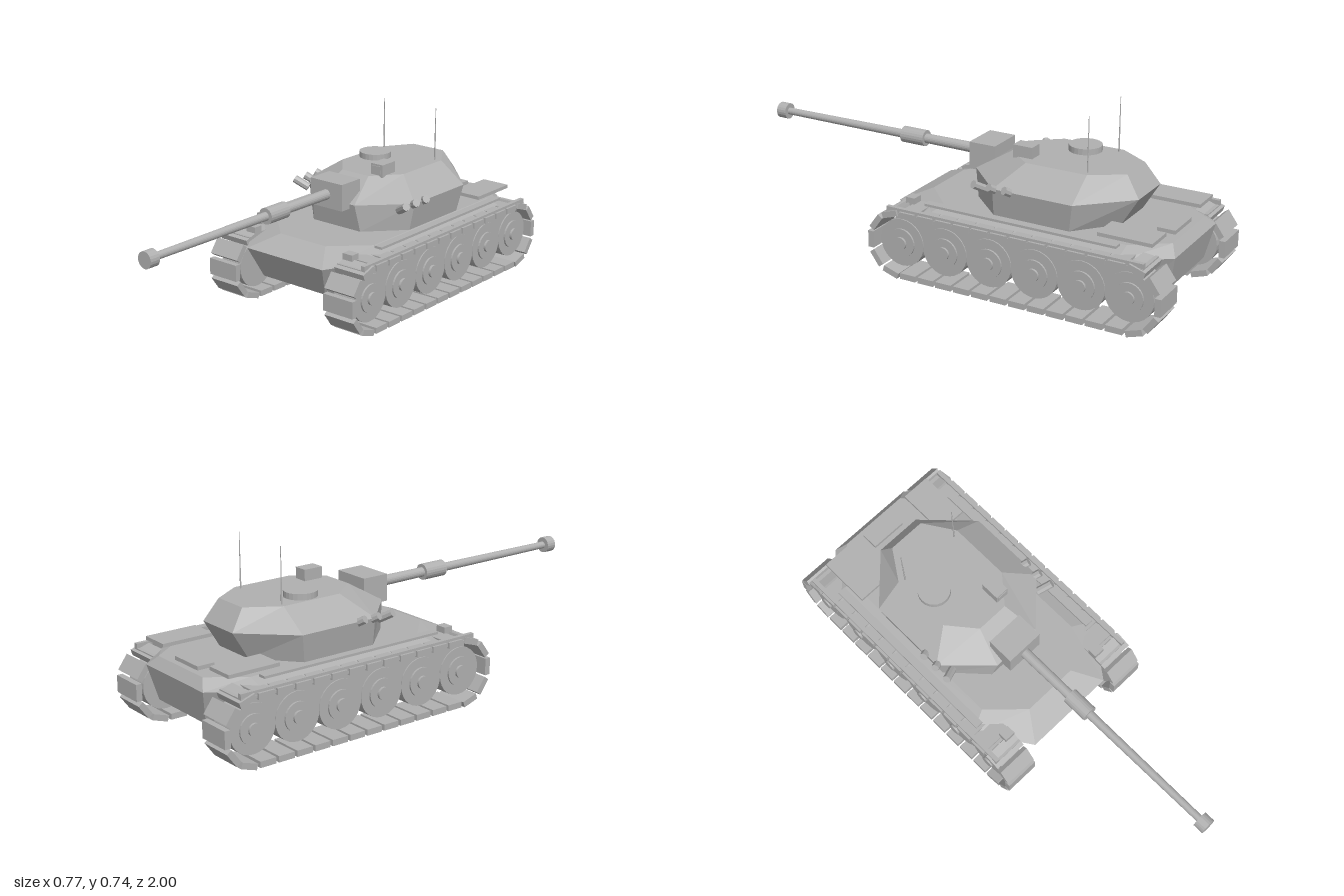
import * as THREE from 'three';

const armour = new THREE.MeshStandardMaterial({ color: 0xb0b0b0, flatShading: true });
armour.name = 'armour grey';

function add(parent, name, geometry, x = 0, y = 0, z = 0) {
  const mesh = new THREE.Mesh(geometry, armour);
  mesh.name = name;
  mesh.position.set(x, y, z);
  parent.add(mesh);
  return mesh;
}

// Box given by its extents on each axis
function box(parent, name, [x0, x1], [y0, y1], [z0, z1]) {
  return add(parent, name,
    new THREE.BoxGeometry(Math.abs(x1 - x0), y1 - y0, Math.abs(z1 - z0)),
    (x0 + x1) / 2, (y0 + y1) / 2, (z0 + z1) / 2);
}

// Cylinder along z from z0 to z1
function rod(parent, name, rBack, rFront, z0, z1, y) {
  const g = new THREE.CylinderGeometry(rFront, rBack, z1 - z0, 20).rotateX(Math.PI / 2);
  return add(parent, name, g, 0, y, (z0 + z1) / 2);
}

// Faceted shell through stacked rings; each ring lists its +x corners [x, y, z], front to rear
function shell(halfRings) {
  const rings = halfRings.map(h => [...h, ...h.slice().reverse().map(([x, y, z]) => [-x, y, z])]);
  const n = rings[0].length, pos = [];
  const tri = (...corners) => corners.forEach(c => pos.push(...c));
  for (let k = 0; k < rings.length - 1; k++) {
    const a = rings[k], b = rings[k + 1];
    for (let i = 0; i < n; i++) {
      const j = (i + 1) % n;
      tri(a[i], a[j], b[j]);
      tri(a[i], b[j], b[i]);
    }
  }
  const low = rings[0], top = rings[rings.length - 1];
  for (let i = 1; i < n - 1; i++) {
    tri(low[0], low[i + 1], low[i]);
    tri(top[0], top[i], top[i + 1]);
  }
  const g = new THREE.BufferGeometry();
  g.setAttribute('position', new THREE.Float32BufferAttribute(pos, 3));
  g.computeVertexNormals();
  return g;
}

// Running gear on one side (s = 1 left, -1 right)
function runningGear(s) {
  const gear = new THREE.Group();
  gear.name = s > 0 ? 'leftTrack' : 'rightTrack';

  // Track links around a stadium-shaped loop
  const zF = 0.14, zR = -0.855, yc = 0.147, r = 0.132, count = 34;
  const run = zF - zR, arc = Math.PI * r, pitch = 2 * (run + arc) / count;
  const link = new THREE.BoxGeometry(0.148, 0.025, 0.071);
  for (let i = 0; i < count; i++) {
    let d = (i + 0.5) * pitch, y, z, turn = 0;
    if (d < run) {
      z = zR + d; y = yc + r;
    } else if ((d -= run) < arc) {
      turn = d / r;
      z = zF + r * Math.sin(turn); y = yc + r * Math.cos(turn);
    } else if ((d -= arc) < run) {
      turn = Math.PI;
      z = zF - d; y = yc - r;
    } else {
      turn = Math.PI + (d - run) / r;
      z = zR + r * Math.sin(turn); y = yc + r * Math.cos(turn);
    }
    add(gear, 'trackLink', link, s * 0.309, y, z).rotation.x = turn;
  }

  // Six road wheels, each a stepped disc
  for (let i = 0; i < 6; i++) {
    const z = 0.14 - i * 0.2;
    for (const [name, radius, outer] of
      [['wheel', 0.1, 0.355], ['wheelDish', 0.06, 0.363], ['wheelHub', 0.026, 0.373]]) {
      const g = new THREE.CylinderGeometry(radius, radius, outer - 0.25, 28).rotateZ(Math.PI / 2);
      add(gear, name, g, s * (outer + 0.25) / 2, 0.15, z);
    }
  }

  // Side panel behind the wheels, fender and fender rail
  box(gear, 'sidePanel', [s * 0.25, s * 0.35], [0.14, 0.27], [-0.89, 0.17]);
  box(gear, 'fender', [s * 0.235, s * 0.375], [0.272, 0.283], [-0.92, 0.2]);
  box(gear, 'fenderRail', [s * 0.355, s * 0.373], [0.283, 0.302], [-0.92, 0.2]);
  return gear;
}

export function createModel() {
  const tank = new THREE.Group();
  tank.name = 'tank';

  // Hull
  add(tank, 'hull', shell([
    [[0.165, 0.13, 0.19], [0.235, 0.13, 0.08], [0.235, 0.13, -0.85], [0.165, 0.13, -0.94]],
    [[0.2, 0.26, 0.25], [0.35, 0.28, 0.04], [0.35, 0.28, -0.8], [0.2, 0.27, -0.97]],
    [[0.12, 0.31, 0.135], [0.26, 0.31, 0], [0.26, 0.31, -0.8], [0.155, 0.31, -0.94]],
  ]));
  box(tank, 'engineHatch', [-0.08, 0.077], [0.305, 0.326], [-0.915, -0.84]);

  // Tracks and paired deck fittings
  for (const s of [-1, 1]) {
    tank.add(runningGear(s));
    box(tank, 'headlampBox', [s * 0.235, s * 0.283], [0.28, 0.317], [0.125, 0.165]);
    box(tank, 'deckStrip', [s * 0.3, s * 0.335], [0.32, 0.33], [-0.79, 0.045]);
    box(tank, 'enginePlate', [s * 0.163, s * 0.29], [0.335, 0.35], [-0.915, -0.69]);
  }

  // Turret
  const turret = new THREE.Group();
  turret.name = 'turret';
  tank.add(turret);
  add(turret, 'turretShell', shell([
    [[0.125, 0.315, -0.08], [0.265, 0.315, -0.23], [0.265, 0.315, -0.56], [0.1, 0.315, -0.7]],
    [[0.11, 0.43, -0.06], [0.285, 0.43, -0.235], [0.285, 0.43, -0.58], [0.1, 0.43, -0.77]],
    [[0.07, 0.515, -0.2], [0.165, 0.515, -0.315], [0.165, 0.515, -0.58], [0.08, 0.515, -0.71]],
  ]));
  add(turret, 'cupola', new THREE.CylinderGeometry(0.068, 0.068, 0.03, 24), -0.09, 0.525, -0.447);
  box(turret, 'sight', [0.058, 0.118], [0.508, 0.562], [-0.318, -0.233]);
  box(turret, 'sightWindow', [0.065, 0.111], [0.522, 0.554], [-0.234, -0.23]);

  // Gun
  box(turret, 'mantlet', [-0.083, 0.083], [0.41, 0.523], [-0.13, -0.012]);
  rod(turret, 'barrelBase', 0.022, 0.02, -0.02, 0.25, 0.467);
  rod(turret, 'barrelSleeve', 0.034, 0.034, 0.245, 0.355, 0.467);
  rod(turret, 'barrel', 0.018, 0.015, 0.35, 0.96, 0.467);
  rod(turret, 'muzzle', 0.034, 0.034, 0.955, 1, 0.467);

  // Antennas and smoke launchers
  const tube = new THREE.CylinderGeometry(0.017, 0.017, 0.07, 8);
  const up = new THREE.Vector3(0, 1, 0);
  for (const s of [-1, 1]) {
    add(turret, 'antenna', new THREE.CylinderGeometry(0.0015, 0.0035, 0.232, 6),
      s * 0.138, 0.626, -0.57);
    for (let i = 0; i < 3; i++) {
      const launcher = add(turret, 'smokeLauncher', tube, s * 0.272, 0.423, -0.172 - i * 0.068);
      launcher.quaternion.setFromUnitVectors(up, new THREE.Vector3(s * 0.75, 0.45, 0.35).normalize());
    }
  }
  return tank;
}
